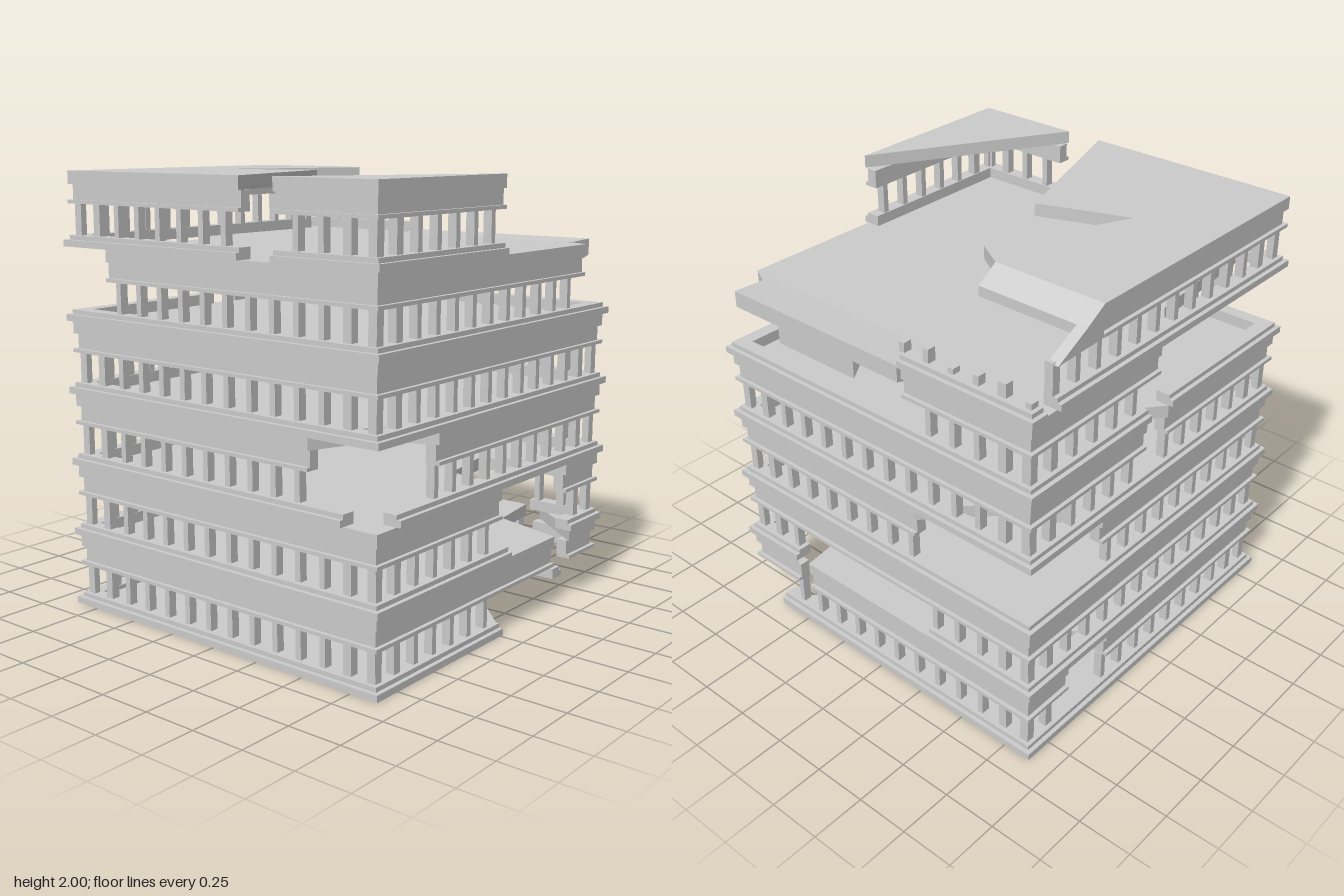
import * as THREE from 'three';

const B = 0.865, H = 1 / 3, PITCH = 0.128;
const mat = new THREE.MeshStandardMaterial({ color: 0xcccccc, flatShading: true, side: THREE.DoubleSide });
const full = [[-B, B], [B, B], [B, -B], [-B, -B]];

// Broken outlines, [x, z], per storey: floor carries the ledge, ceil the slab above
const storeys = [
  {
    floor: [[[-B, B], [B, B], [B, -0.02], [0.59, -0.29], [-0.29, 0.02], [0.68, -B], [-B, -B]]],
    ceil: [
      [[-B, B], [B, B], [B, -0.48], [0.52, -0.58], [0.48, -B], [-B, -B], [-B, -0.6], [-0.68, -0.48], [-B, -0.33]],
      [[B, -0.62], [B, -B], [0.56, -B]],
    ],
  },
  {
    floor: [
      [[-B, B], [B, B], [B, -0.08], [0, 0], [-0.3, -B], [-B, -B]],
      [[B, -0.6], [B, -B], [0.54, -B]],
    ],
    ceil: [[[-B, B], [B, B], [B, -0.02], [0.55, -0.1], [0.5, -0.4], [B, -0.57], [B, -B], [-B, -B]]],
  },
  {
    floor: [[[-B, B], [0.7, B], [B, 0.74], [B, -B], [-B, -B]]],
    ceil: [[[-B, B], [0.52, B], [0.63, 0.55], [B, 0.46], [B, -B], [-0.24, -B], [-0.5, -0.6], [-B, -0.4]]],
  },
  {
    floor: [full],
    ceil: [[[-B, B], [B, B], [B, -B], [-B, -B], [-B, -0.12], [-0.8, -0.05], [-B, 0.03]]],
  },
  {
    floor: [[[-B, B], [B, B], [B, -B], [-B, -B], [-B, -0.12], [-0.8, -0.05], [-B, 0.03]]],
    ceil: [[[-0.63, B], [B, B], [B, -0.68], [0.77, -0.73], [0.2, -0.7], [-0.2, -B], [-B, -B], [-B, -0.05], [-0.7, 0.2]]],
  },
  {
    floor: [
      [[-B, B], [0.17, B], [-B, -0.72]],
      [[0.35, B], [B, B], [B, 0]],
      [[-0.2, -B], [-B, -B], [-0.5, -0.7]],
    ],
    ceil: [
      [[-B, B], [0.17, B], [-0.08, 0.09], [-0.49, 0.24], [-0.2, -0.37], [-0.33, -0.45], [-B, -0.45]],
      [[0.35, B], [B, B], [B, 0]],
    ],
  },
];

// The four faces: axis the face runs along (0 = x, 1 = z) and its direction
const sides = [[0, 1], [0, -1], [1, 1], [1, -1]];

function add(parent, name, geo) {
  const m = new THREE.Mesh(geo, mat);
  m.name = name;
  parent.add(m);
  return m;
}

// Horizontal plate with an outline in x, z
function plate(parent, name, poly, y0, y1) {
  const shape = new THREE.Shape(poly.map(([x, z]) => new THREE.Vector2(x, -z)));
  const geo = new THREE.ExtrudeGeometry(shape, { depth: y1 - y0, bevelEnabled: false });
  geo.rotateX(-Math.PI / 2).translate(0, y0, 0);
  return add(parent, name, geo);
}

// Prism along x from a section in z, y
function prism(parent, name, section, x0, x1) {
  const shape = new THREE.Shape(section.map(([z, y]) => new THREE.Vector2(-z, y)));
  const geo = new THREE.ExtrudeGeometry(shape, { depth: x1 - x0, bevelEnabled: false });
  geo.rotateY(Math.PI / 2).translate(x0, 0, 0);
  return add(parent, name, geo);
}

// Box on a face: t along the face, d outward from the centre
function sideBox(parent, name, [axis, sign], t0, t1, y0, y1, d0, d1) {
  const t = (t0 + t1) / 2, d = sign * (d0 + d1) / 2, w = t1 - t0, dd = d1 - d0;
  const geo = axis === 0 ? new THREE.BoxGeometry(w, y1 - y0, dd) : new THREE.BoxGeometry(dd, y1 - y0, w);
  const m = add(parent, name, geo);
  m.position.set(axis === 0 ? t : d, (y0 + y1) / 2, axis === 0 ? d : t);
}

// Intact stretches of an outline that lie on the given face
function runs(polys, [axis, sign]) {
  const out = [];
  for (const p of polys) p.forEach((a, i) => {
    const b = p[(i + 1) % p.length], o = 1 - axis;
    if (a[o] * sign >= B && b[o] * sign >= B) out.push([Math.min(a[axis], b[axis]), Math.max(a[axis], b[axis])]);
  });
  return out;
}

// Strip along a run, its ends reaching the corner of its own depth
function strip(parent, name, side, [a, b], y0, y1, d0, d1) {
  sideBox(parent, name, side, a <= -B ? -d1 : a, b >= B ? d1 : b, y0, y1, d0, d1);
}

const columnPositions = Array.from({ length: 14 }, (_, k) => (k - 6.5) * PITCH);
function column(parent, side, t, y0, y1) {
  const w = Math.abs(Math.abs(t) - 5.5 * PITCH) < 0.01 ? 0.04 : 0.028;
  sideBox(parent, 'column', side, t - w / 2, t + w / 2, y0, y1, 0.805, 0.845);
}

export function createModel() {
  const model = new THREE.Group();
  model.name = 'ruinedOfficeBlock';

  storeys.forEach(({ floor, ceil }, i) => {
    const g = new THREE.Group(), y = i * H;
    g.name = 'storey' + (i + 1);
    model.add(g);
    if (i === 0) floor.forEach(p => plate(g, 'baseSlab', p, 0, 0.03));
    ceil.forEach(p => plate(g, 'floorSlab', p, y + 0.275, y + H));

    for (const side of sides) {
      const lower = runs(floor, side), upper = runs(ceil, side);
      for (const r of lower) {
        strip(g, 'ledge', side, r, y, y + 0.03, 0.8, 0.885);
        strip(g, 'curb', side, r, y + 0.03, y + 0.05, 0.8, 0.865);
      }
      for (const r of upper) {
        strip(g, 'lintel', side, r, y + 0.19, y + 0.206, 0.8, 0.868);
        strip(g, 'spandrel', side, r, y + 0.206, y + 0.275, 0.8, 0.85);
      }
      // Columns stand only where both the ledge and the lintel survive
      const inside = (list, t) => list.some(([a, b]) => t > a && t < b);
      for (const t of columnPositions)
        if (inside(lower, t) && inside(upper, t)) column(g, side, t, y + 0.05, y + 0.19);
    }
  });

  // Snapped column stubs along the back of the top storey
  const top = 5 * H;
  columnPositions.filter(t => t < -0.15).forEach((t, k) =>
    column(model, sides[1], t, top + 0.05, top + 0.075 + 0.018 * ((k * 2) % 3)));

  // Sloping broken edge of the roof and the wall that tapers away behind it
  prism(model, 'brokenRoofEdge', [[-0.45, 2], [-0.45, 1.94], [-0.55, 1.89], [-0.55, 1.935]], -B, -0.33);
  prism(model, 'taperedWall', [[-0.45, 2], [-0.55, 1.94], [-0.72, 1.85], [-0.45, 1.857]], -B, -0.815);
  for (const k of [4.5, 5.5]) column(model, sides[3], -k * PITCH, top + 0.05, top + 0.19);

  // Hanging slab flap along the back edge
  prism(model, 'hangingFlap',
    [[-0.69, 1.667], [-0.885, 1.675], [-0.885, 1.6], [-0.83, 1.585], [-0.69, 1.61]], -0.2, 0.77);
  prism(model, 'hangingFlapTip', [[-0.885, 1.61], [-0.885, 1.52], [-0.82, 1.6]], 0.05, 0.5);

  return model;
}
